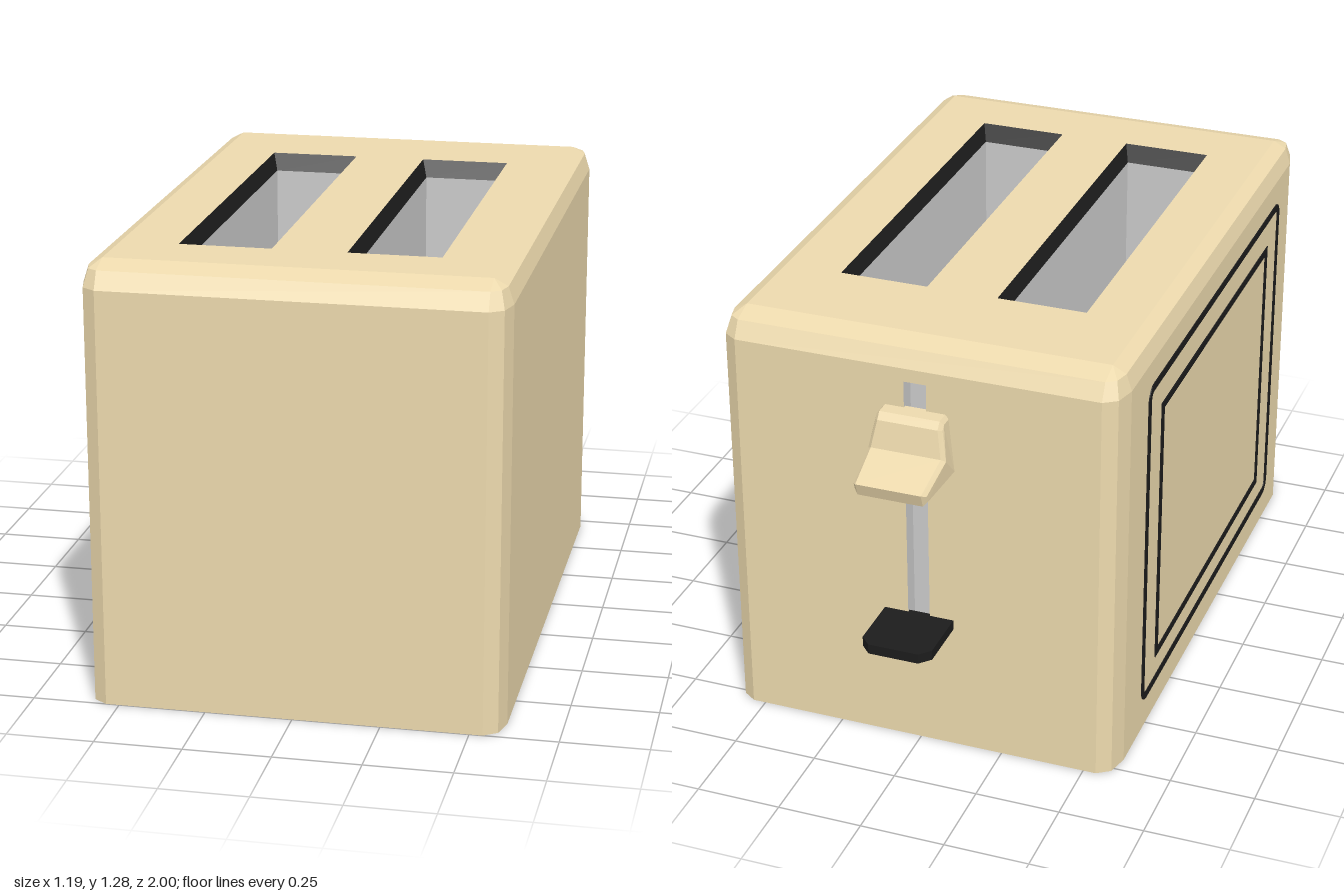
import * as THREE from 'three';

const mat = (color) => new THREE.MeshStandardMaterial({ color, flatShading: true, side: THREE.DoubleSide });

// Skin closed rings of [x, y, z] points; keep(k, i) can leave out a quad
function loft(rings, keep = () => true) {
  const n = rings[0].length, pos = [];
  for (let k = 0; k < rings.length - 1; k++) {
    for (let i = 0; i < n; i++) {
      if (!keep(k, i)) continue;
      const j = (i + 1) % n;
      const a = rings[k][i], b = rings[k][j], c = rings[k + 1][j], d = rings[k + 1][i];
      pos.push(...a, ...d, ...b, ...b, ...d, ...c);
    }
  }
  const g = new THREE.BufferGeometry();
  g.setAttribute('position', new THREE.Float32BufferAttribute(pos, 3));
  g.computeVertexNormals();
  return g;
}

// Rectangle outline with cut or rounded corners
function rect(x0, x1, y0, y1, r = 0, Type = THREE.Shape) {
  const s = new Type();
  if (!r) {
    s.setFromPoints([[x0, y0], [x1, y0], [x1, y1], [x0, y1], [x0, y0]].map(p => new THREE.Vector2(...p)));
    return s;
  }
  s.moveTo(x0 + r, y0);
  s.absarc(x1 - r, y0 + r, r, -Math.PI / 2, 0);
  s.absarc(x1 - r, y1 - r, r, 0, Math.PI / 2);
  s.absarc(x0 + r, y1 - r, r, Math.PI / 2, Math.PI);
  s.absarc(x0 + r, y0 + r, r, Math.PI, Math.PI * 1.5);
  return s;
}

const hole = (...a) => rect(...a, 0, THREE.Path);

export function createModel() {
  const group = new THREE.Group();
  const cream = mat(0xecd9ad), black = mat(0x1c1c1c), grey = mat(0xcccccc);
  const add = (parent, name, geo, m) => {
    const mesh = new THREE.Mesh(geo, m);
    mesh.name = name;
    parent.add(mesh);
    return mesh;
  };

  // Housing: flat sides with two-step bevels on the upright and top edges
  const X = 0.538, ZB = -0.70, ZF = 0.91, Y = 1.21, RX = 0.055, RY = 0.07, RZ = 0.09;
  const ring = (y, t) => {
    const pts = [];
    for (let q = 0; q < 4; q++) {
      const cx = q === 0 || q === 3 ? X : -X, cz = q < 2 ? ZF : ZB;
      for (let s = 0; s < 3; s++) {
        const a = q * Math.PI / 2 + s * Math.PI / 4;
        pts.push([cx + RX * Math.cos(t) * Math.cos(a), y + RY * Math.sin(t), cz + RZ * Math.cos(t) * Math.sin(a)]);
      }
    }
    return pts;
  };
  const body = new THREE.Group();
  body.name = 'housing';
  group.add(body);
  const rings = [ring(0, 0), ring(Y, 0), ring(Y, Math.PI / 4), ring(Y, Math.PI / 2)];
  add(body, 'housingSides', loft(rings, (k, i) => !(k === 0 && i === 8)), cream);

  const base = new THREE.Shape(rings[0].map(p => new THREE.Vector2(p[0], p[2])));
  add(body, 'housingBottom', new THREE.ShapeGeometry(base).rotateX(Math.PI / 2), cream);

  // Top panel with two openings
  const slotX = [-0.24, 0.236], S0 = -0.43, S1 = 0.73, SW = 0.132;
  const top = rect(-X, X, -ZF, -ZB);
  slotX.forEach(x => top.holes.push(hole(x - SW, x + SW, -S1, -S0)));
  add(body, 'housingTop', new THREE.ShapeGeometry(top).rotateX(-Math.PI / 2).translate(0, Y + RY, 0), cream);

  // Back panel with the lever track opening
  const G = 0.033, G0 = 0.29, G1 = 1.17, back = ZB - RZ;
  const backShape = rect(-X, X, 0, Y);
  backShape.holes.push(hole(-G, G, G0, G1));
  add(body, 'housingBack', new THREE.ShapeGeometry(backShape).rotateY(Math.PI).translate(0, 0, back), cream);

  // Bread slots: black sloping lip, grey well and floor
  slotX.forEach((x, n) => {
    const slot = new THREE.Group();
    slot.name = n ? 'leftBreadSlot' : 'rightBreadSlot';
    group.add(slot);
    const r = (y, dx, dz) => [
      [x + SW - dx, y, S0 + dz], [x + SW - dx, y, S1 - dz],
      [x - SW + dx, y, S1 - dz], [x - SW + dx, y, S0 + dz]];
    const lipY = 1.23, floorY = 0.25;
    add(slot, 'slotLip', loft([r(Y + RY, 0, 0), r(lipY, 0.016, 0.03)]), black);
    add(slot, 'slotWell', loft([r(lipY, 0.016, 0.03), r(floorY, 0.016, 0.03)]), grey);
    add(slot, 'slotFloor', new THREE.PlaneGeometry(2 * SW - 0.032, S1 - S0 - 0.06)
      .rotateX(-Math.PI / 2).translate(x, floorY, (S0 + S1) / 2), grey);
  });

  // Recessed lever track
  const track = z => [[-G, G0, z], [G, G0, z], [G, G1, z], [-G, G1, z]];
  add(group, 'leverTrackWalls', loft([track(back), track(back + 0.05)]), grey);
  add(group, 'leverTrackBack', new THREE.PlaneGeometry(2 * G, G1 - G0)
    .rotateY(Math.PI).translate(0, (G0 + G1) / 2, back + 0.05), grey);

  // Lever: side profile swept across, narrowed at the tip and top
  const profile = new THREE.Shape([
    [-0.78, 0.905], [-0.98, 0.905], [-0.995, 0.945], [-0.865, 0.99],
    [-0.848, 1.07], [-0.832, 1.09], [-0.78, 1.09]].map(p => new THREE.Vector2(...p)));
  const b = 0.012, w = 0.23;
  const lever = new THREE.ExtrudeGeometry(profile, {
    depth: w - 2 * b, bevelEnabled: true, bevelThickness: b, bevelSize: b, bevelOffset: -b, bevelSegments: 1,
  }).rotateY(-Math.PI / 2).translate(w / 2 - b, 0, 0);
  const p = lever.attributes.position;
  for (let i = 0; i < p.count; i++) {
    if (p.getZ(i) < -0.95) p.setX(i, p.getX(i) * 0.93);
    if (p.getY(i) > 1.03) p.setX(i, p.getX(i) * 0.86);
  }
  lever.computeVertexNormals();
  add(group, 'lever', lever, cream);

  // Black lower tab
  const tab = new THREE.Shape([
    [-0.105, 0.78], [0.105, 0.78], [0.105, 0.955], [0.075, 0.987],
    [-0.075, 0.987], [-0.105, 0.955]].map(q => new THREE.Vector2(...q)));
  add(group, 'lowerTab', new THREE.ExtrudeGeometry(tab, { depth: 0.03, bevelEnabled: false })
    .rotateX(-Math.PI / 2).translate(0, 0.395, 0), black);

  // Two thin black outlines on the right side
  const frames = [['outerOutline', -0.545, 0.795, 0.09, 1.135, 0.045], ['innerOutline', -0.42, 0.67, 0.18, 1.03, 0]];
  for (const [name, z0, z1, y0, y1, r] of frames) {
    const t = 0.023;
    const s = rect(z0, z1, y0, y1, r);
    s.holes.push(rect(z0 + t, z1 - t, y0 + t, y1 - t, Math.max(r - t, 0), THREE.Path));
    add(group, name, new THREE.ExtrudeGeometry(s, { depth: 0.004, bevelEnabled: false, curveSegments: 4 })
      .rotateY(-Math.PI / 2).translate(-X - RX + 0.001, 0, 0), black);
  }
  return group;
}
